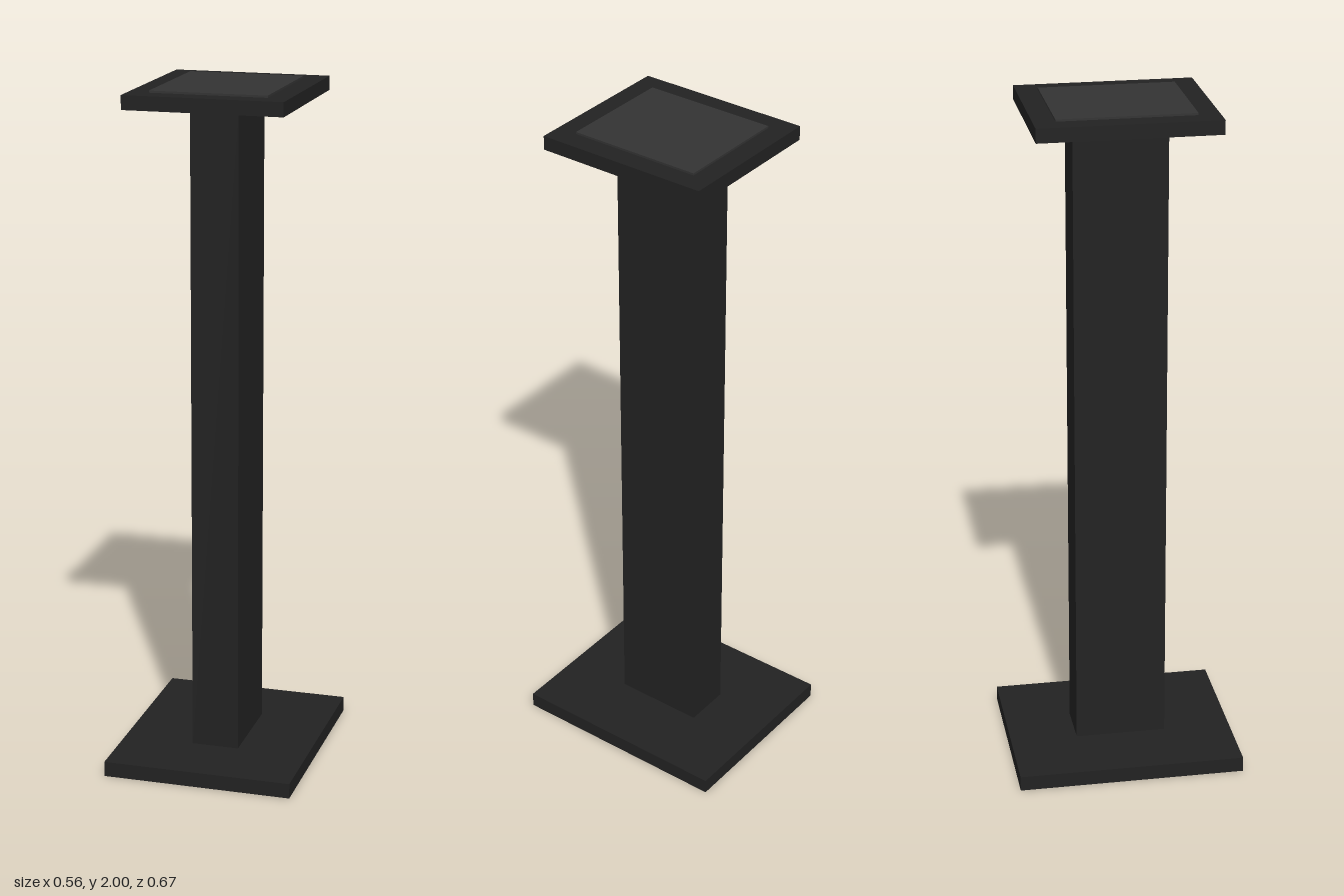
import * as THREE from 'three';

// Box standing on height y0 and reaching y1, centred on x and z
function slab(name, width, depth, y0, y1, material) {
  const mesh = new THREE.Mesh(new THREE.BoxGeometry(width, y1 - y0, depth), material);
  mesh.name = name;
  mesh.position.y = (y0 + y1) / 2;
  return mesh;
}

export function createModel() {
  const group = new THREE.Group();
  group.name = 'pedestalStand';
  const dark = new THREE.MeshStandardMaterial({ color: 0x222222 });
  const padGrey = new THREE.MeshStandardMaterial({ color: 0x333333 });

  group.add(
    slab('basePlate', 0.56, 0.67, 0, 0.045, dark),
    slab('column', 0.14, 0.27, 0.045, 1.953, dark),
    slab('topPlate', 0.46, 0.516, 1.953, 1.994, dark),
    // thin raised pad on the top plate
    slab('topPad', 0.338, 0.392, 1.994, 2, padGrey)
  );
  return group;
}
